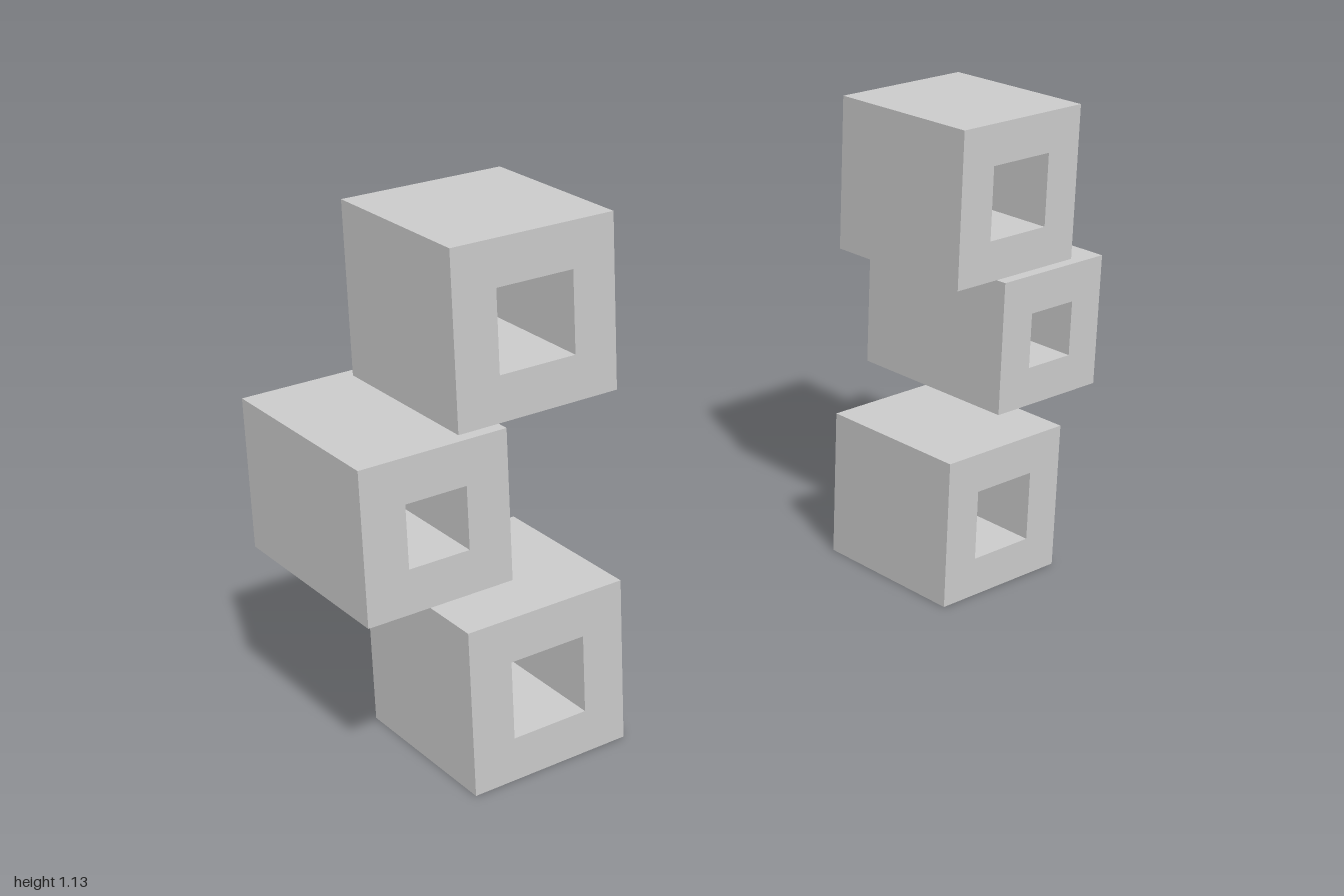
import * as THREE from 'three';

const material = new THREE.MeshStandardMaterial({ color: 0xcccccc, flatShading: true });

// Traces a centred square on a Shape or Path
function square(path, size) {
  const h = size / 2;
  path.moveTo(-h, -h);
  path.lineTo(h, -h);
  path.lineTo(h, h);
  path.lineTo(-h, h);
  path.closePath();
  return path;
}

// Square block with a square hole running from front to back
function squareTube(name, size, hole, depth, x, y, z) {
  const shape = square(new THREE.Shape(), size);
  shape.holes.push(square(new THREE.Path(), hole));
  const geometry = new THREE.ExtrudeGeometry(shape, { depth, bevelEnabled: false });
  geometry.translate(0, 0, -depth / 2);
  const mesh = new THREE.Mesh(geometry, material);
  mesh.name = name;
  mesh.position.set(x, y, z);
  return mesh;
}

export function createModel() {
  const model = new THREE.Group();
  model.name = 'squareTubeClusters';

  // Mirrored stacks of three tubes, the middle one set outward and back
  for (const [side, sign] of [['left', 1], ['right', -1]]) {
    const stack = new THREE.Group();
    stack.name = `${side}Stack`;
    stack.add(
      squareTube(`${side}LowerTube`, 0.361, 0.171, 0.386, sign * 0.641, 0.1815, 0.065),
      squareTube(`${side}MiddleTube`, 0.324, 0.135, 0.452, sign * 0.838, 0.568, -0.031),
      squareTube(`${side}UpperTube`, 0.361, 0.171, 0.386, sign * 0.641, 0.955, 0.065)
    );
    model.add(stack);
  }
  return model;
}
